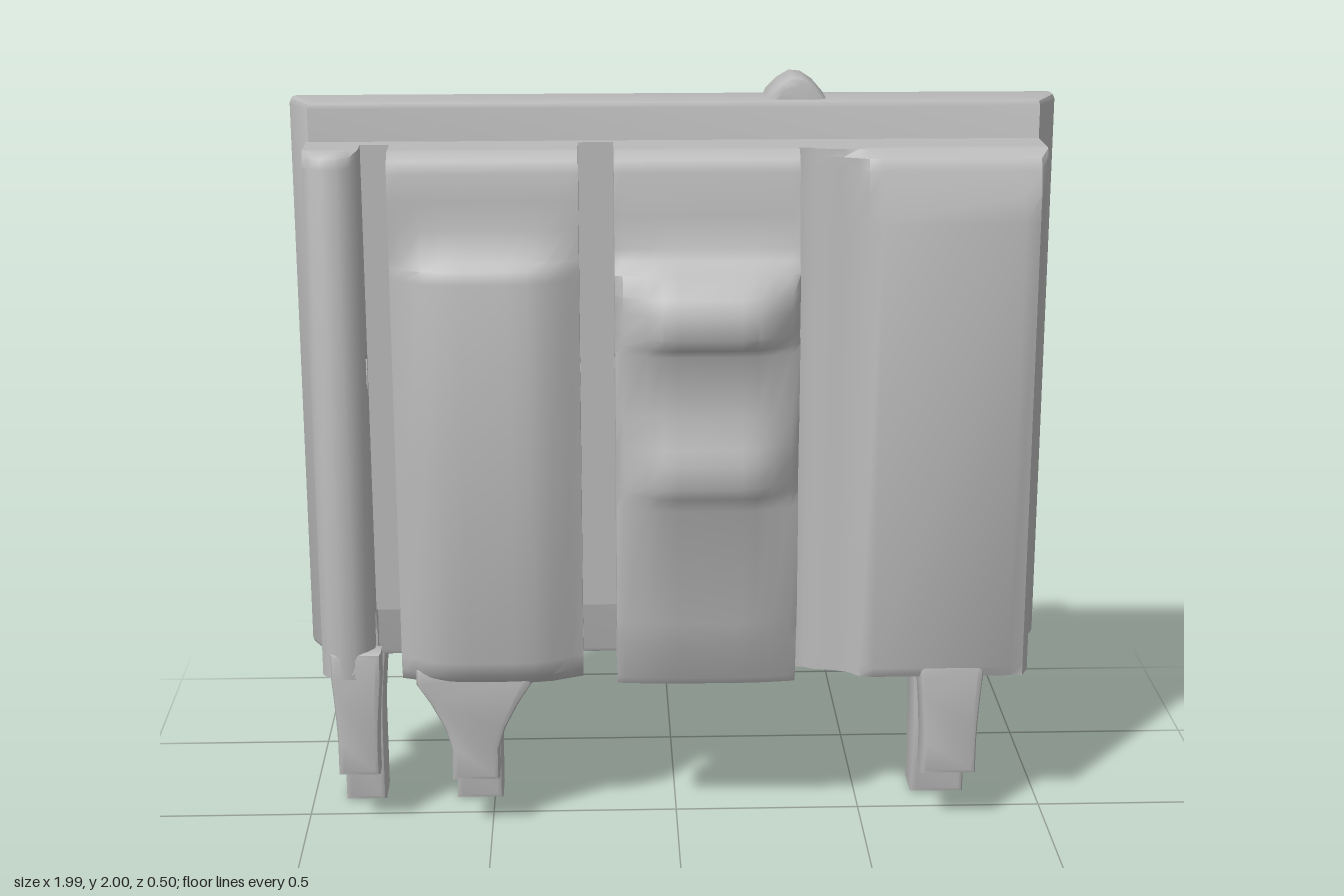
import * as THREE from 'three';
import { toCreasedNormals } from 'three/addons/utils/BufferGeometryUtils.js';

const grey = new THREE.MeshStandardMaterial({ color: 0xbababa });
grey.name = 'light grey';

// piecewise-linear curve through [t, value] pairs sorted by t
const curve = pts => t => {
  if (t <= pts[0][0]) return pts[0][1];
  for (let i = 1; i < pts.length; i++) {
    const [a, va] = pts[i - 1], [b, vb] = pts[i];
    if (t <= b) return va + (vb - va) * (t - a) / (b - a);
  }
  return pts[pts.length - 1][1];
};
const shapeOf = pts => new THREE.Shape(pts.map(p => new THREE.Vector2(p[0], p[1])));

// solid block whose front face follows height(x, y)
function relief(xs, ys, height, back) {
  const pos = [];
  const quad = (a, b, c, d) => pos.push(...a, ...b, ...c, ...a, ...c, ...d);
  const F = (i, j) => [xs[i], ys[j], height(xs[i], ys[j])];
  const B = (i, j) => [xs[i], ys[j], back];
  const n = xs.length - 1, m = ys.length - 1;
  for (let i = 0; i < n; i++) {
    for (let j = 0; j < m; j++) {
      quad(F(i, j), F(i + 1, j), F(i + 1, j + 1), F(i, j + 1));
      quad(B(i + 1, j), B(i, j), B(i, j + 1), B(i + 1, j + 1));
    }
    quad(B(i, 0), B(i + 1, 0), F(i + 1, 0), F(i, 0));
    quad(F(i, m), F(i + 1, m), B(i + 1, m), B(i, m));
  }
  for (let j = 0; j < m; j++) {
    quad(B(0, j), F(0, j), F(0, j + 1), B(0, j + 1));
    quad(F(n, j), B(n, j), B(n, j + 1), F(n, j + 1));
  }
  const g = new THREE.BufferGeometry();
  g.setAttribute('position', new THREE.Float32BufferAttribute(pos, 3));
  return toCreasedNormals(g, 0.7);
}

// front outline extruded from z0 to z1 with softened edges
function extrudeZ(pts, z0, z1, bevel = 0.015) {
  const g = new THREE.ExtrudeGeometry(shapeOf(pts), {
    depth: z1 - z0 - 2 * bevel, bevelEnabled: true, bevelSize: bevel,
    bevelOffset: -bevel, bevelThickness: bevel, bevelSegments: 2,
  });
  g.translate(0, 0, z0 + bevel);
  return toCreasedNormals(g, 0.7);
}

export function createModel() {
  const group = new THREE.Group();
  const add = (name, geometry) => {
    const mesh = new THREE.Mesh(geometry, grey);
    mesh.name = name;
    group.add(mesh);
  };

  // back slab, tapering towards the front, with a faint vertical ridge behind
  const slab = new THREE.ExtrudeGeometry(shapeOf([
    [-0.94, 0.085], [0.94, 0.085], [0.995, 0.19], [0.995, 0.23],
    [0.4, 0.232], [0.34, 0.245], [0.28, 0.232], [-0.995, 0.23], [-0.995, 0.19],
  ]), { depth: 1.48, bevelSize: 0.015, bevelOffset: -0.015, bevelThickness: 0.015, bevelSegments: 2 });
  slab.rotateX(-Math.PI / 2).translate(0, 0.445, 0);
  add('backSlab', toCreasedNormals(slab, 0.5));

  // knob on the top edge
  add('topKnob', extrudeZ([[0.22, 1.9], [0.41, 1.9], [0.39, 1.94], [0.36, 1.975],
    [0.33, 1.995], [0.3, 1.998], [0.27, 1.98], [0.24, 1.95]], -0.25, -0.1, 0.02));

  // inner cores: side outline with an open notch below and a cross hole
  const core = (name, x0, x1) => {
    const s = shapeOf([[0.1, 0.43], [0.055, 0.43], [0.05, 0.52], [0.03, 0.58],
      [-0.03, 0.59], [-0.03, 1.84], [0.1, 1.84]]);
    s.holes.push(new THREE.Path([[0.03, 1.28], [0.01, 1.305], [-0.02, 1.29],
      [-0.02, 1.24], [0.01, 1.2], [0.02, 1.23]].map(p => new THREE.Vector2(...p))));
    const g = new THREE.ExtrudeGeometry(s, { depth: x1 - x0, bevelEnabled: false });
    g.rotateY(Math.PI / 2).translate(x0, 0, 0);
    add(name, g);
  };
  core('pillarCore', -0.945, -0.805);
  core('rightPanelCore', -0.73, -0.25);
  core('middlePanelCore', -0.16, 0.31);
  core('leftPanelCore', 0.31, 0.94);

  // groove floors between the panels
  for (const [x0, x1, z] of [[-0.82, -0.72, -0.04], [-0.26, -0.15, -0.06]]) {
    const g = new THREE.BoxGeometry(x1 - x0, 1.26, z + 0.1);
    g.translate((x0 + x1) / 2, 1.21, (z - 0.1) / 2);
    add('grooveFloor', g);
  }

  // slim pillar
  const pillarX = curve([[-0.945, 0.05], [-0.925, 0.075], [-0.895, 0.09], [-0.855, 0.09], [-0.825, 0.07], [-0.805, 0.04]]);
  const pillarY = curve([[0.43, 0], [1.8, 0], [1.825, -0.01], [1.84, -0.03]]);
  add('pillar', relief([-0.945, -0.925, -0.895, -0.855, -0.825, -0.805], [0.43, 1.8, 1.825, 1.84],
    (x, y) => Math.max(0.031, pillarX(x) + pillarY(y)), 0.01));

  // right panel with a rounded raised field
  const topBase = [[1.7, 0.105], [1.79, 0.1], [1.82, 0.09], [1.84, 0.06]];
  const rBase = curve([[0.43, 0.08], [0.46, 0.1], ...topBase]);
  const rBulge = curve([[0.43, 0.045], [0.5, 0.065], [1.52, 0.065], [1.55, 0.055], [1.57, 0.03], [1.65, 0.005], [1.72, 0]]);
  const rX = curve([[-0.73, 0], [-0.7, 0.25], [-0.65, 0.75], [-0.6, 0.95], [-0.55, 1], [-0.43, 1], [-0.38, 0.95], [-0.33, 0.75], [-0.28, 0.25], [-0.25, 0]]);
  add('rightPanel', relief([-0.73, -0.7, -0.65, -0.6, -0.55, -0.43, -0.38, -0.33, -0.28, -0.25],
    [0.43, 0.46, 0.5, 1, 1.52, 1.55, 1.57, 1.65, 1.72, 1.79, 1.82, 1.84],
    (x, y) => rBase(y) + rBulge(y) * rX(x), 0.03));

  // middle panel with a thick lower field and two raised lumps
  const mBase = curve([[0.43, 0.135], [0.45, 0.145], [0.55, 0.16], [0.62, 0.18], [1.5, 0.18],
    [1.54, 0.165], [1.57, 0.13], [1.6, 0.12], [1.68, 0.105], ...topBase.slice(1)]);
  const mBulge = curve([[0.43, 0.01], [0.62, 0.025], [0.93, 0.03], [0.97, 0.055], [1.0, 0.068], [1.06, 0.068],
    [1.1, 0.055], [1.18, 0.035], [1.34, 0.035], [1.36, 0.05], [1.39, 0.07], [1.45, 0.07], [1.49, 0.05], [1.54, 0.02], [1.58, 0]]);
  const mX = curve([[-0.16, -0.4], [-0.14, 0.1], [-0.08, 0.6], [-0.04, 0.95], [0, 1], [0.16, 1], [0.2, 0.95], [0.24, 0.6], [0.29, 0.1], [0.31, -0.4]]);
  add('middlePanel', relief([-0.16, -0.14, -0.08, -0.04, 0, 0.16, 0.2, 0.24, 0.29, 0.31],
    [0.43, 0.45, 0.55, 0.62, 0.93, 0.97, 1, 1.06, 1.1, 1.18, 1.34, 1.36, 1.39, 1.45, 1.49, 1.54, 1.57, 1.6, 1.68, 1.79, 1.82, 1.84],
    (x, y) => mBase(y) + mBulge(y) * mX(x), 0.03));

  // left panel: low shelf beside the groove, then a broad flat field
  const lX = curve([[0.31, 0.035], [0.34, 0.035], [0.36, 0.05], [0.42, 0.062], [0.46, 0.08], [0.485, 0.11],
    [0.52, 0.13], [0.88, 0.13], [0.92, 0.115], [0.94, 0.07]]);
  const lY = curve([[0.43, 0.115], [0.46, 0.135], [1.66, 0.135], [1.73, 0.115], [1.79, 0.1], [1.82, 0.09], [1.84, 0.06]]);
  add('leftPanel', relief([0.31, 0.34, 0.36, 0.42, 0.46, 0.485, 0.52, 0.88, 0.92, 0.94],
    [0.43, 0.46, 1.66, 1.73, 1.79, 1.82, 1.84], (x, y) => Math.min(lX(x), lY(y)), 0.02));

  // legs: straight foot with flared shoulders; front ones are shorter
  const leg = (name, x, half, flare, top, bottom, z0, z1) => {
    const side = [[half, bottom], [half, 0.24], [half + flare * 0.2, 0.3], [half + flare * 0.6, 0.37],
      [half + flare, 0.425], [half + flare, top]];
    const pts = [...side.map(([a, y]) => [x + a, y]), ...side.reverse().map(([a, y]) => [x - a, y])];
    add(name, extrudeZ(pts, z0, z1));
  };
  leg('frontLeg', -0.855, 0.055, 0.012, 0.5, 0.15, 0.01, 0.09);
  leg('frontLeg', -0.54, 0.063, 0.09, 0.47, 0.15, 0.025, 0.13);
  leg('frontLeg', 0.73, 0.073, 0.012, 0.47, 0.15, 0.025, 0.13);
  leg('rearLeg', -0.855, 0.055, 0.012, 0.47, 0, -0.22, -0.085);
  leg('rearLeg', -0.54, 0.063, 0.08, 0.47, 0, -0.22, -0.085);
  leg('rearLeg', 0.73, 0.073, 0.01, 0.47, 0, -0.22, -0.085);

  return group;
}
